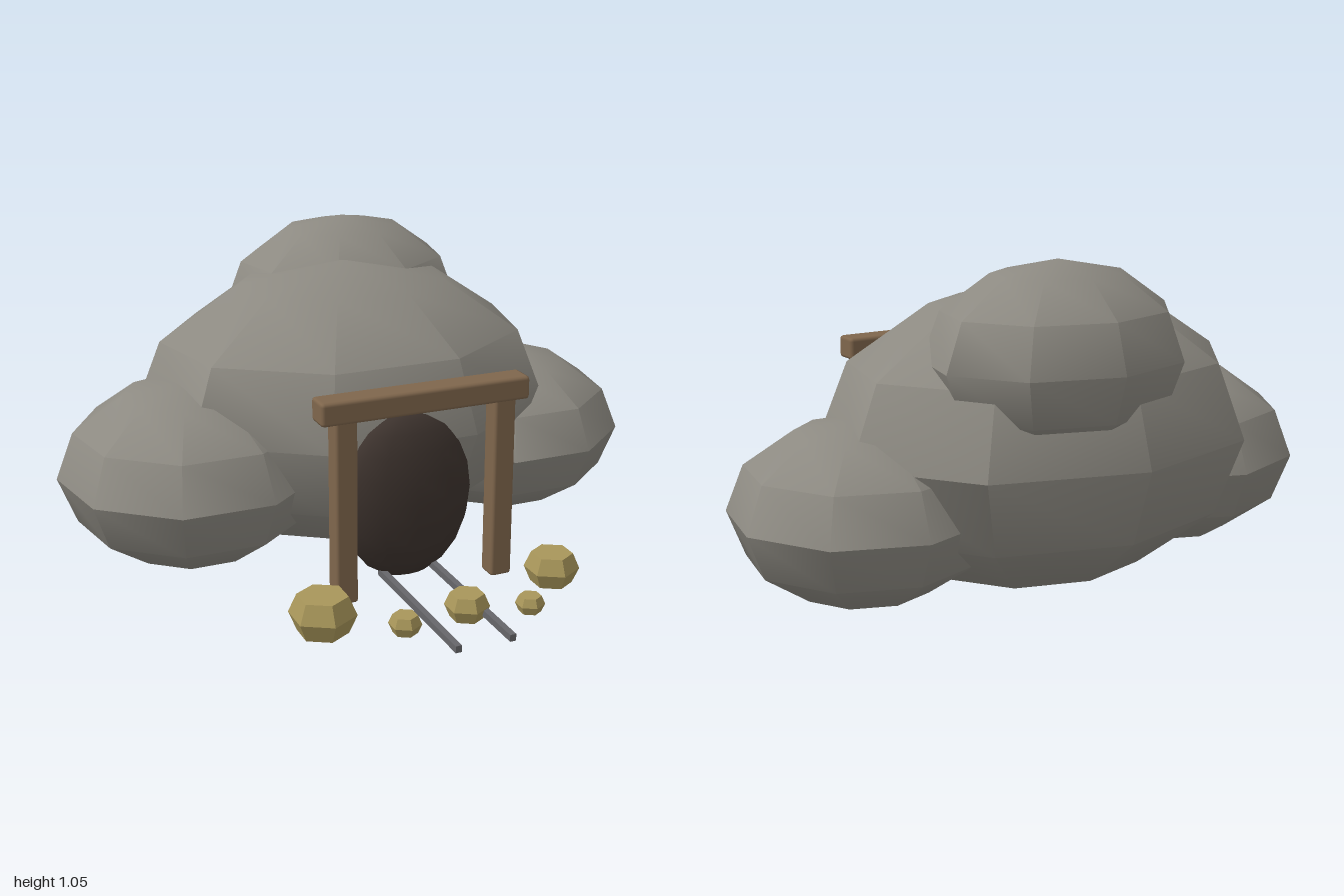
import * as THREE from 'three';
import { toCreasedNormals } from 'three/addons/utils/BufferGeometryUtils.js';
import { RoundedBoxGeometry } from 'three/addons/geometries/RoundedBoxGeometry.js';

const material = (color, flatShading = false) => new THREE.MeshStandardMaterial({ color, flatShading });

export function createModel() {
  const model = new THREE.Group();
  const rock = material(0x8d8a82);
  const dark = material(0x3c322d);
  const wood = material(0x7f664c);
  const iron = material(0x66666a);
  const gold = material(0xa8965a, true);

  const add = (name, geometry, mat, x, y, z) => {
    const mesh = new THREE.Mesh(geometry, mat);
    mesh.name = name;
    mesh.position.set(x, y, z);
    model.add(mesh);
    return mesh;
  };

  // Nine-sided boulder with a vertex at the back, sharp only at its steep edges
  const boulder = (name, [x, y, z], [rx, ry, rz]) => {
    const g = new THREE.SphereGeometry(1, 9, 6, -Math.PI / 2).scale(rx, ry, rz);
    add(name, toCreasedNormals(g, 0.67), rock, x, y, z);
  };
  boulder('mainBoulder', [0, 0.485, -0.265], [0.72, 0.475, 0.575]);
  boulder('rightBoulder', [-0.57, 0.335, -0.175], [0.437, 0.305, 0.43]);
  boulder('leftBoulder', [0.595, 0.315, -0.22], [0.411, 0.28, 0.405]);
  boulder('topBoulder', [0.095, 0.77, -0.5], [0.417, 0.29, 0.34]);

  // Dark cave mouth: a flattened ellipsoid
  add('caveMouth', new THREE.SphereGeometry(1, 12, 10).scale(0.225, 0.275, 0.095), dark, 0, 0.315, 0.27);

  // Timber frame
  for (const [name, side] of [['leftPost', 1], ['rightPost', -1]]) {
    add(name, new RoundedBoxGeometry(0.072, 0.6, 0.072, 1, 0.01), wood, side * 0.264, 0.355, 0.39);
  }
  add('lintel', new RoundedBoxGeometry(0.69, 0.075, 0.09, 1, 0.012), wood, 0, 0.678, 0.385);

  // Rails leading out of the cave
  for (const [name, side] of [['leftRail', 1], ['rightRail', -1]]) {
    add(name, new THREE.BoxGeometry(0.02, 0.022, 0.565), iron, side * 0.088, 0.068, 0.553);
  }

  // Hexagonal nuggets: x, y, z, radius
  const profile = [[0, -0.57], [0.75, -0.57], [1, 0], [0.75, 0.57], [0, 0.57]]
    .map(([r, y]) => new THREE.Vector2(r, y));
  const nuggetGeometry = new THREE.LatheGeometry(profile, 6);
  const nuggets = [
    [-0.385, 0.095, 0.522, 0.105],
    [0.405, 0.091, 0.5, 0.088],
    [0.046, 0.082, 0.618, 0.07],
    [-0.17, 0.075, 0.642, 0.051],
    [0.237, 0.073, 0.666, 0.046],
  ];
  nuggets.forEach(([x, y, z, r], i) => {
    add('nugget' + (i + 1), nuggetGeometry, gold, x, y, z).scale.setScalar(r);
  });

  return model;
}
